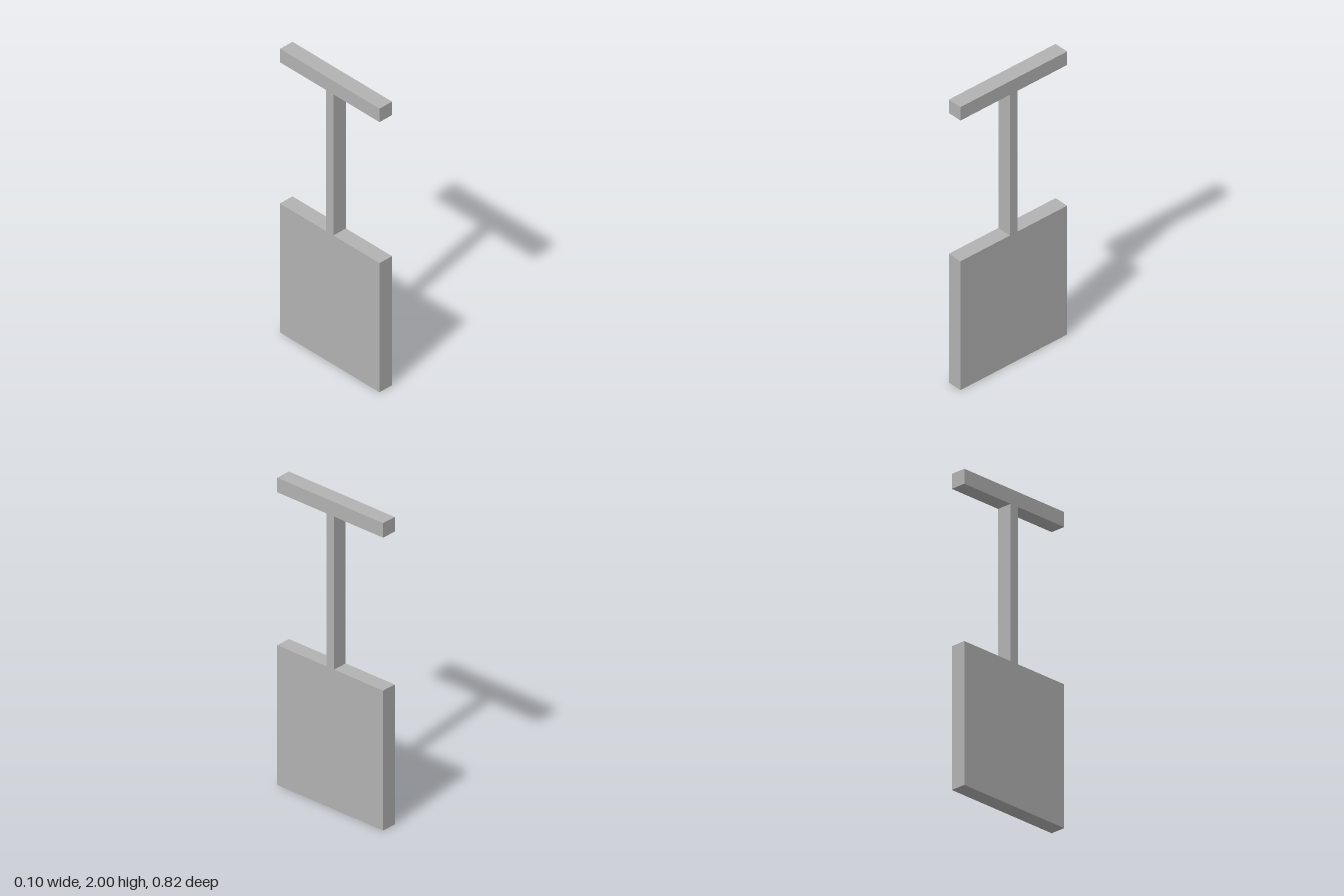
import * as THREE from 'three';

const THICKNESS = 0.1;

export function createModel() {
  const group = new THREE.Group();
  group.name = 'shovel';
  const grey = new THREE.MeshStandardMaterial({ color: 0xb2b2b2 });
  grey.name = 'grey';

  // Right half of the outline, from the bottom up: blade, shaft, handle bar
  const half = [
    [0.41, 0], [0.41, 0.91],
    [0.03, 0.91], [0.03, 1.905],
    [0.41, 1.905], [0.41, 2],
  ];
  const mirrored = half.map(([w, y]) => [-w, y]).reverse();
  const outline = new THREE.Shape([...half, ...mirrored].map(([w, y]) => new THREE.Vector2(w, y)));

  // One seamless slab, turned so that its broad faces look along x
  const geometry = new THREE.ExtrudeGeometry(outline, { depth: THICKNESS, bevelEnabled: false });
  geometry.translate(0, 0, -THICKNESS / 2);
  geometry.rotateY(Math.PI / 2);

  const body = new THREE.Mesh(geometry, grey);
  body.name = 'bladeShaftAndHandle';
  group.add(body);
  return group;
}
